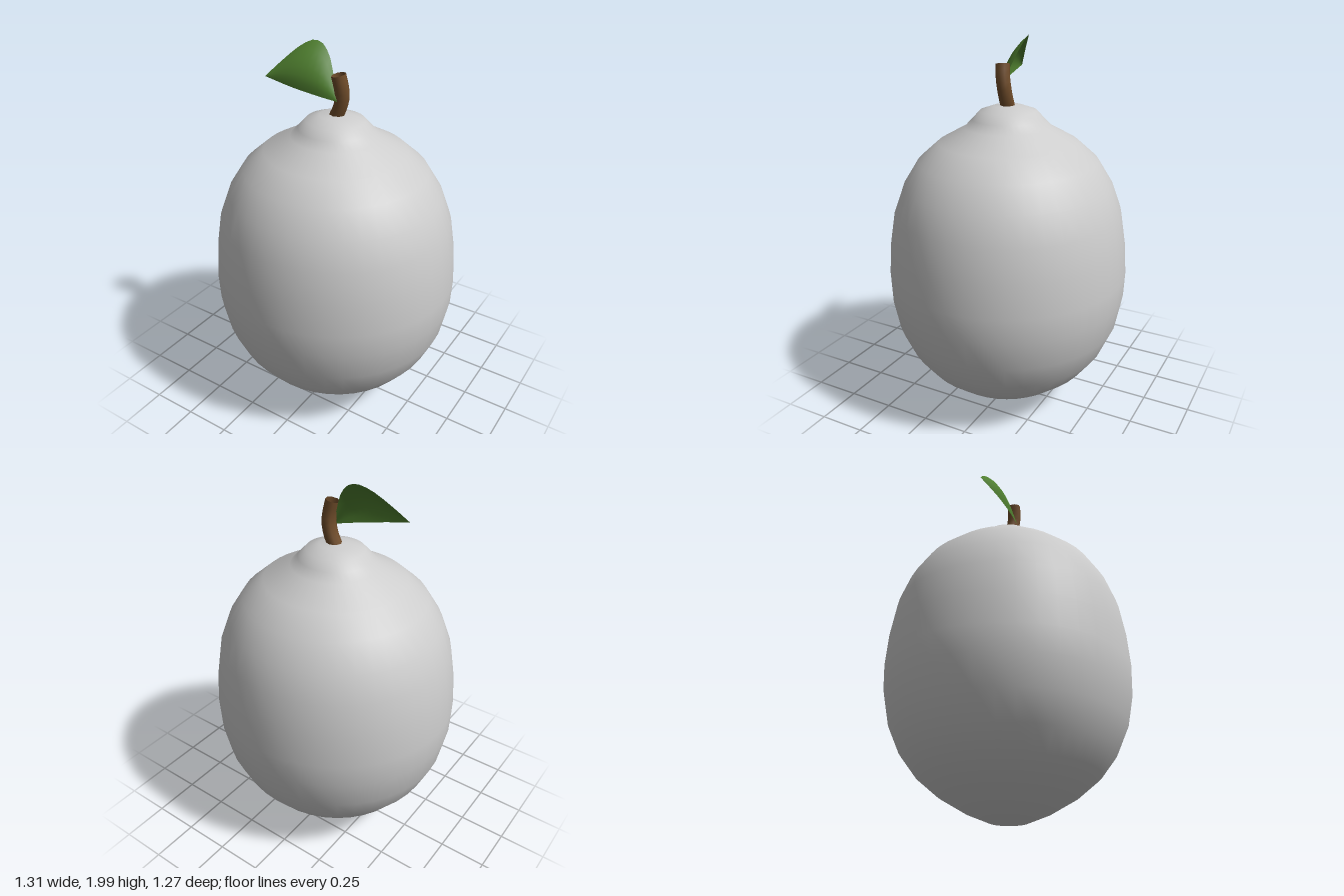
import * as THREE from 'three';

const V = (x, y, z) => new THREE.Vector3(x, y, z);

export function createModel() {
  const model = new THREE.Group();
  model.name = 'citrusFruit';
  const material = (name, color) => Object.assign(new THREE.MeshStandardMaterial({ color }), { name });
  const skin = material('paleSkin', 0xcccccc);
  const bark = material('stemBrown', 0x6f4c2a);
  const green = material('leafGreen', 0x4f7f2f);
  bark.side = green.side = THREE.DoubleSide;

  const add = (name, geometry, mat) => {
    const mesh = new THREE.Mesh(geometry, mat);
    mesh.name = name;
    model.add(mesh);
  };

  // Fruit: turned profile with a pointed base and a small collar, slightly narrower in depth
  const profile = [
    [0, 0.005], [0.1, 0.022], [0.22, 0.07], [0.36, 0.15], [0.47, 0.24], [0.555, 0.35],
    [0.618, 0.49], [0.65, 0.65], [0.655, 0.78], [0.642, 0.95], [0.613, 1.12], [0.56, 1.26],
    [0.48, 1.385], [0.37, 1.48], [0.23, 1.555], [0.19, 1.595], [0.15, 1.638], [0.08, 1.662], [0, 1.67],
  ].map(([r, y]) => new THREE.Vector2(r, y));
  const body = new THREE.LatheGeometry(profile, 40);
  body.scale(1, 1, 0.973);
  add('fruit', body, skin);

  // Stem: open, bent tube
  const stemPath = new THREE.CatmullRomCurve3([
    V(-0.005, 1.64, 0), V(0.025, 1.70, 0), V(0.041, 1.76, 0.003), V(0.04, 1.81, 0.01), V(0.028, 1.872, 0.017),
  ]);
  add('stem', new THREE.TubeGeometry(stemPath, 8, 0.037, 8, false), bark);

  // Leaf: surface between a nearly straight lower edge and an arched upper edge, bulging forward
  const lower = new THREE.CatmullRomCurve3([
    V(0.035, 1.743, 0.035), V(-0.06, 1.762, 0.062), V(-0.2, 1.79, 0.088), V(-0.35, 1.822, 0.1),
  ]);
  const upper = new THREE.CatmullRomCurve3([
    V(0.035, 1.743, 0.035), V(-0.02, 1.87, -0.01), V(-0.06, 1.945, -0.035), V(-0.105, 1.99, -0.045),
    V(-0.15, 2.0, -0.037), V(-0.2, 1.975, -0.008), V(-0.26, 1.92, 0.035), V(-0.35, 1.822, 0.1),
  ]);
  const leaf = new THREE.PlaneGeometry(1, 1, 12, 6);
  const pos = leaf.attributes.position;
  for (let i = 0; i < pos.count; i++) {
    const u = 0.5 - pos.getX(i), v = pos.getY(i) + 0.5;
    const p = lower.getPoint(u).lerp(upper.getPoint(u), v);
    p.z += 0.16 * v * (1 - v) * Math.sin(Math.PI * u);
    pos.setXYZ(i, p.x, p.y, p.z);
  }
  leaf.computeVertexNormals();
  add('leaf', leaf, green);

  return model;
}
